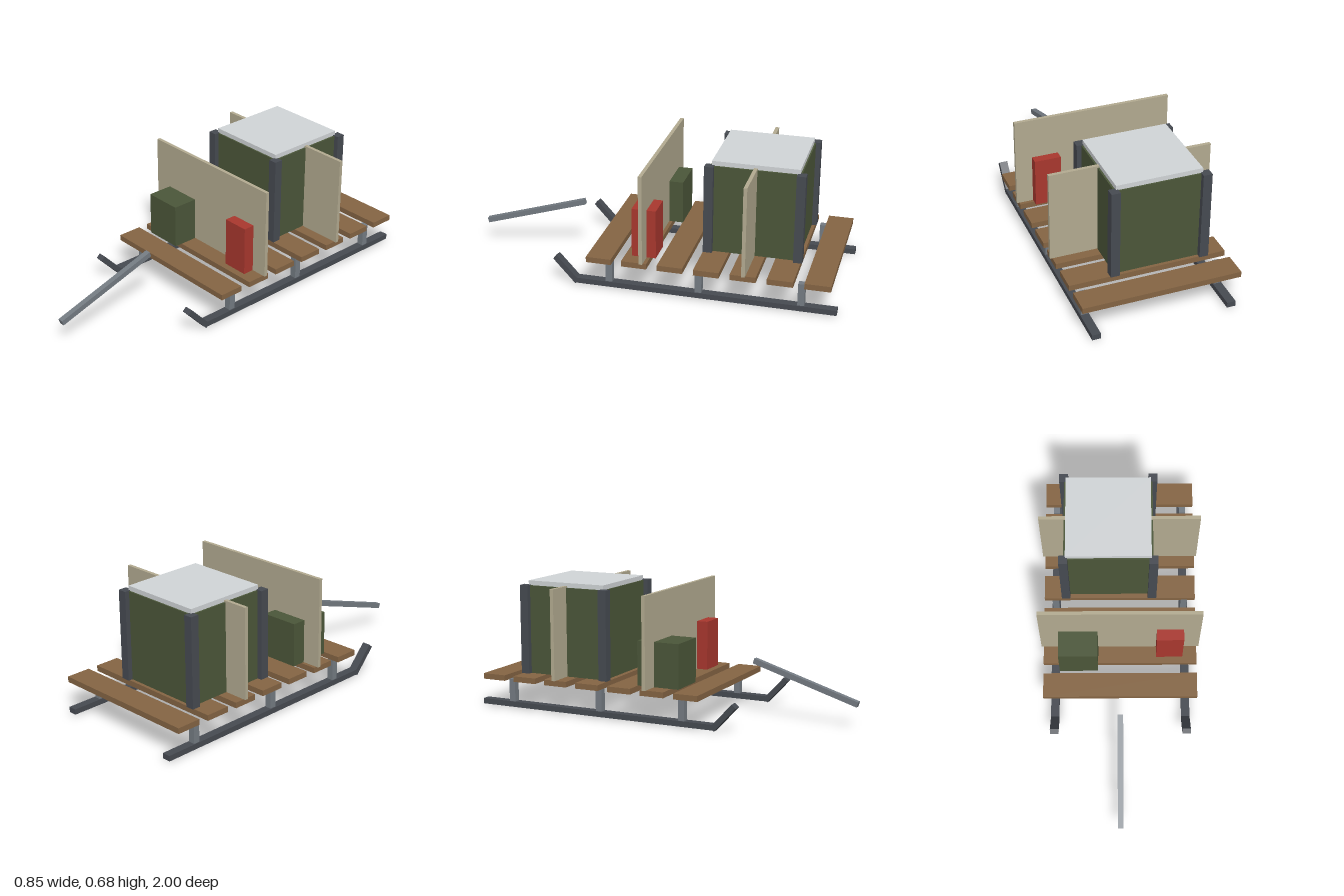
import * as THREE from 'three';

const mat = (color) => new THREE.MeshStandardMaterial({ color });

export function createModel() {
  const sled = new THREE.Group();
  sled.name = 'cargoSled';

  const wood = mat(0x846443);
  const canvas = mat(0xb2aa90);
  const olive = mat(0x4b5639);
  const red = mat(0xa8372e);
  const darkSteel = mat(0x464a51);
  const steel = mat(0x747b82);
  const pale = mat(0xd0d4d6);

  // Box given by its extents along each axis
  function block(name, material, [x0, x1], [y0, y1], [z0, z1]) {
    const mesh = new THREE.Mesh(new THREE.BoxGeometry(x1 - x0, y1 - y0, z1 - z0), material);
    mesh.position.set((x0 + x1) / 2, (y0 + y1) / 2, (z0 + z1) / 2);
    mesh.name = name;
    sled.add(mesh);
    return mesh;
  }

  // Square bar running between two (y, z) points at a given x
  function bar(name, material, x, width, thickness, [ya, za], [yb, zb]) {
    const length = Math.hypot(yb - ya, zb - za);
    const mesh = new THREE.Mesh(new THREE.BoxGeometry(width, thickness, length), material);
    mesh.position.set(x, (ya + yb) / 2, (za + zb) / 2);
    mesh.rotation.x = -Math.atan2(yb - ya, zb - za);
    mesh.name = name;
    sled.add(mesh);
    return mesh;
  }

  const around = (centre, size) => [centre - size / 2, centre + size / 2];
  const deck = 0.183;

  // Runners with turned-up tips, and the struts that carry the deck
  for (const [side, x] of [['left', 0.354], ['right', -0.354]]) {
    block(`${side}Runner`, darkSteel, around(x, 0.045), [0.006, 0.035], [-1, 0.37]);
    bar(`${side}RunnerTip`, darkSteel, x, 0.045, 0.029, [0.0105, 0.359], [0.14, 0.477]);
    for (const z of [0.187, -0.288, -0.818]) {
      block(`${side}Strut`, steel, around(x, 0.035), [0.03, 0.156], around(z, 0.035));
    }
  }

  // Deck slats
  for (let i = 0; i < 7; i++) {
    block('deckSlat', wood, [-0.413, 0.413], [0.153, deck], around(0.23 - i * 0.189, 0.133));
  }

  // Sloping tow bar
  bar('towBar', steel, 0, 0.03, 0.028, [0.301, 0.431], [0.125, 0.996]);

  // Upright cross boards
  for (const z of [0.002, -0.53]) {
    block('crossBoard', canvas, [-0.425, 0.425], [deck, 0.667], around(z, 0.019));
  }

  // Cargo in front
  block('cargoBox', olive, [-0.325, -0.118], [deck, 0.418], [-0.084, 0.15]);
  block('fuelCan', red, [0.194, 0.336], [deck, 0.447], [-0.056, 0.072]);

  // Large crate with corner posts and lid
  const cx = -0.059, cz = -0.53;
  block('crate', olive, around(cx, 0.468), [deck, 0.658], around(cz, 0.468));
  for (const sx of [-1, 1]) {
    for (const sz of [-1, 1]) {
      block('cratePost', darkSteel, around(cx + sx * 0.236, 0.047), [deck, 0.661], around(cz + sz * 0.236, 0.047));
    }
  }
  block('crateLid', pale, around(cx, 0.449), [0.655, 0.683], around(cz, 0.452));

  return sled;
}
